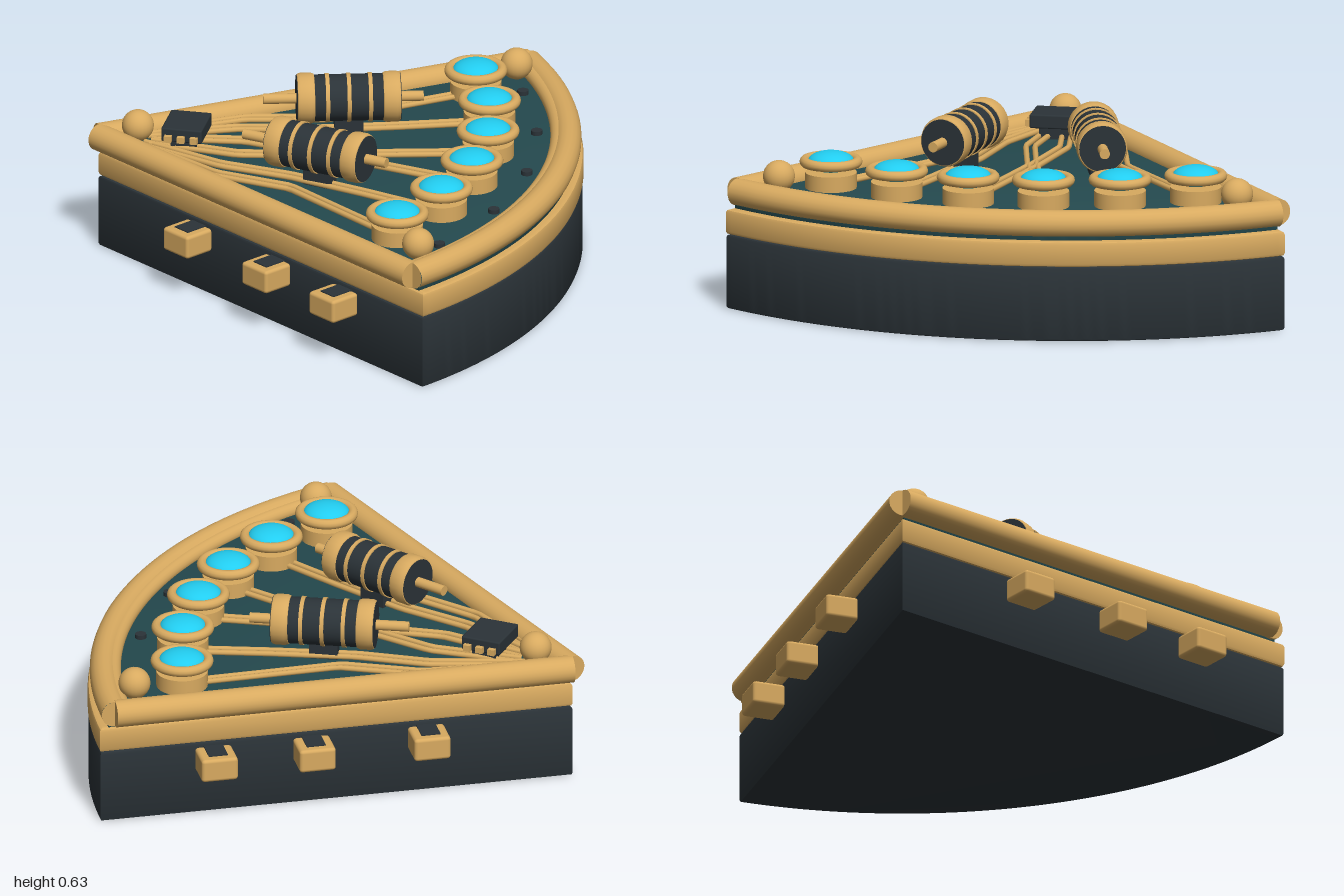
import * as THREE from 'three';
import { toCreasedNormals } from 'three/addons/utils/BufferGeometryUtils.js';
import { RoundedBoxGeometry } from 'three/addons/geometries/RoundedBoxGeometry.js';

const mat = (color) => new THREE.MeshStandardMaterial({ color });
const gold = mat(0xd8aa60), dark = mat(0x2b3338), teal = mat(0x24494e), cyan = mat(0x22cdf0);
const HALF = THREE.MathUtils.degToRad(35.8);
const APEX = -0.83;
const PLATE_Y = 0.41;
const UP = new THREE.Vector3(0, 1, 0);

function add(parent, name, geometry, material, x = 0, y = 0, z = 0) {
  const mesh = new THREE.Mesh(geometry, material);
  mesh.name = name;
  mesh.position.set(x, y, z);
  parent.add(mesh);
  return mesh;
}

// Pie-slice slab standing between two heights
function wedge(apex, radius, y0, y1, bevel) {
  const s = new THREE.Shape();
  s.moveTo(apex, 0);
  s.lineTo(apex + radius * Math.cos(HALF), -radius * Math.sin(HALF));
  s.absarc(apex, 0, radius, -HALF, HALF, false);
  s.closePath();
  const g = new THREE.ExtrudeGeometry(s, {
    depth: y1 - y0 - 2 * bevel, curveSegments: 40, bevelEnabled: true,
    bevelThickness: bevel, bevelSize: bevel, bevelOffset: -bevel, bevelSegments: 2,
  });
  g.rotateX(-Math.PI / 2).translate(0, y0 + bevel, 0);
  return toCreasedNormals(g, 0.5);
}

// Round bar between two points
function bar(parent, name, a, b, r, material) {
  const d = b.clone().sub(a);
  const mesh = add(parent, name, new THREE.CylinderGeometry(r, r, d.length(), 24), material);
  mesh.position.copy(a).add(b).multiplyScalar(0.5);
  mesh.quaternion.setFromUnitVectors(UP, d.normalize());
}

// Point at a distance and angle from the apex
const polar = (r, a, y) => new THREE.Vector3(APEX + r * Math.cos(a), y, r * Math.sin(a));

// Tube along the curved edge, closed with flat ends
function arcTube(parent, name, radius, r, y) {
  const points = [];
  for (let i = 0; i <= 16; i++) points.push(polar(radius, -HALF + (2 * HALF * i) / 16, y));
  add(parent, name, new THREE.TubeGeometry(new THREE.CatmullRomCurve3(points), 48, r, 18), gold);
  for (const s of [-1, 1]) {
    const cap = add(parent, name + 'Cap', new THREE.CircleGeometry(r, 18), gold);
    cap.position.copy(polar(radius, s * HALF, y));
    cap.rotation.y = s > 0 ? -HALF : Math.PI + HALF;
  }
}

// Two parallel wires following one polyline over the plate
function wirePair(parent, points) {
  for (const off of [-0.016, 0.016]) {
    const pts = points.map(([x, z]) => new THREE.Vector3(x, PLATE_Y + 0.01, z + off));
    const path = new THREE.CurvePath();
    for (let i = 1; i < pts.length; i++) path.add(new THREE.LineCurve3(pts[i - 1], pts[i]));
    add(parent, 'wire', new THREE.TubeGeometry(path, 36, 0.01, 8), gold);
  }
}

function makeResistor() {
  const g = new THREE.Group();
  g.name = 'resistor';
  const part = (name, r, len, x, m) =>
    add(g, name, new THREE.CylinderGeometry(r, r, len, 28).rotateZ(Math.PI / 2), m, x);
  part('resistorLead', 0.018, 0.56, -0.018, gold);
  part('resistorBody', 0.082, 0.364, 0, dark);
  for (const x of [-0.075, 0, 0.075]) part('resistorBand', 0.086, 0.014, x, gold);
  // Rounded end collars around the dark body
  const profile = [[0.08, -0.031], [0.085, -0.029], [0.089, -0.018], [0.089, 0.018],
    [0.085, 0.029], [0.08, 0.031]].map((p) => new THREE.Vector2(...p));
  const collar = toCreasedNormals(new THREE.LatheGeometry(profile, 28), 0.8).rotateZ(Math.PI / 2);
  for (const x of [-0.15, 0.15]) add(g, 'resistorCollar', collar, gold, x);
  add(g, 'resistorSaddle', new THREE.BoxGeometry(0.1, 0.06, 0.06), dark, 0, -0.1, 0);
  return g;
}

// Button: drum on the plate, raised ring and a lens held in the ring
function makeButton() {
  const g = new THREE.Group();
  g.name = 'button';
  add(g, 'buttonDrum', new THREE.CylinderGeometry(0.09, 0.09, 0.055, 32), gold, 0, 0.0275, 0);
  add(g, 'buttonRing', new THREE.TorusGeometry(0.092, 0.018, 12, 36).rotateX(Math.PI / 2), gold, 0, 0.093, 0);
  add(g, 'buttonLens', new THREE.SphereGeometry(0.082, 28, 16).scale(1, 0.45, 1), cyan, 0, 0.093, 0);
  return g;
}

// Side clip: block with a dark tongue set into its top
function makeClip() {
  const g = new THREE.Group();
  g.name = 'sideClip';
  add(g, 'clipBlock', new RoundedBoxGeometry(0.13, 0.085, 0.12, 2, 0.012), gold, 0, 0.208, 0.055);
  add(g, 'clipTongue', new THREE.BoxGeometry(0.068, 0.04, 0.09), dark, 0, 0.234, 0.04);
  return g;
}

export function createModel() {
  const model = new THREE.Group();
  model.name = 'wedgeDevice';

  // Stacked slabs
  add(model, 'baseBody', wedge(APEX, 1.687, 0, 0.266, 0.01), dark);
  add(model, 'trimBand', wedge(APEX, 1.69, 0.266, 0.356, 0.012), gold);
  add(model, 'circuitPlate', wedge(APEX + 0.02, 1.64, 0.35, PLATE_Y, 0.004), teal);

  // Rim: curved tube with an inner bead, and two straight bars
  arcTube(model, 'curvedRim', 1.635, 0.048, PLATE_Y);
  arcTube(model, 'innerBead', 1.602, 0.028, PLATE_Y + 0.008);
  for (const s of [-1, 1]) {
    bar(model, 'sideRim', polar(0, 0, PLATE_Y + 0.002), polar(1.635, s * HALF, PLATE_Y + 0.002), 0.048, gold);
  }

  // Corner balls
  const ball = new THREE.SphereGeometry(0.056, 24, 16);
  for (const [x, z] of [[-0.69, 0], [0.485, 0.81], [0.485, -0.81]]) {
    add(model, 'cornerBall', ball, gold, x, 0.469, z);
  }

  // Small screws along the curve
  for (let i = -2; i <= 2; i++) {
    const p = polar(1.527, THREE.MathUtils.degToRad(13.35 * i), PLATE_Y + 0.005);
    add(model, 'screw', new THREE.CylinderGeometry(0.02, 0.02, 0.02, 14), dark, p.x, p.y, p.z);
  }

  // Chip with three pins on each side
  add(model, 'chip', new RoundedBoxGeometry(0.145, 0.05, 0.17, 2, 0.006), dark, -0.517, 0.478, 0);
  add(model, 'chipPedestal', new THREE.BoxGeometry(0.09, 0.06, 0.11), dark, -0.517, 0.435, 0);
  for (const s of [-1, 1]) for (let i = -1; i <= 1; i++) {
    add(model, 'chipPin', new THREE.BoxGeometry(0.026, 0.022, 0.04), gold, -0.517 + i * 0.046, 0.468, s * 0.083);
  }

  // Mirrored parts on both halves
  for (const s of [-1, 1]) {
    const m = (pts) => pts.map(([x, z]) => [x, z * s]);
    wirePair(model, m([[-0.67, 0.06], [-0.36, 0.25], [-0.08, 0.31], [0.32, 0.61]]));
    wirePair(model, m([[-0.66, 0.04], [-0.36, 0.165], [-0.1, 0.21], [0.18, 0.3], [0.42, 0.385]]));
    wirePair(model, m([[-0.64, 0.02], [-0.32, 0.06], [-0.02, 0.002], [0.46, 0.12]]));
    for (const [x, z] of [[0.375, 0.645], [0.478, 0.395], [0.53, 0.133]]) {
      const b = makeButton();
      b.position.set(x, PLATE_Y, z * s);
      model.add(b);
    }
    const r = makeResistor();
    r.position.set(0.01, 0.54, 0.235 * s);
    r.rotation.y = -s * 0.267;
    model.add(r);
    for (const t of [0.525, 0.935, 1.285]) {
      const c = makeClip();
      c.position.copy(polar(t, s * HALF, 0));
      c.rotation.y = s > 0 ? -HALF : Math.PI + HALF;
      model.add(c);
    }
  }
  return model;
}
